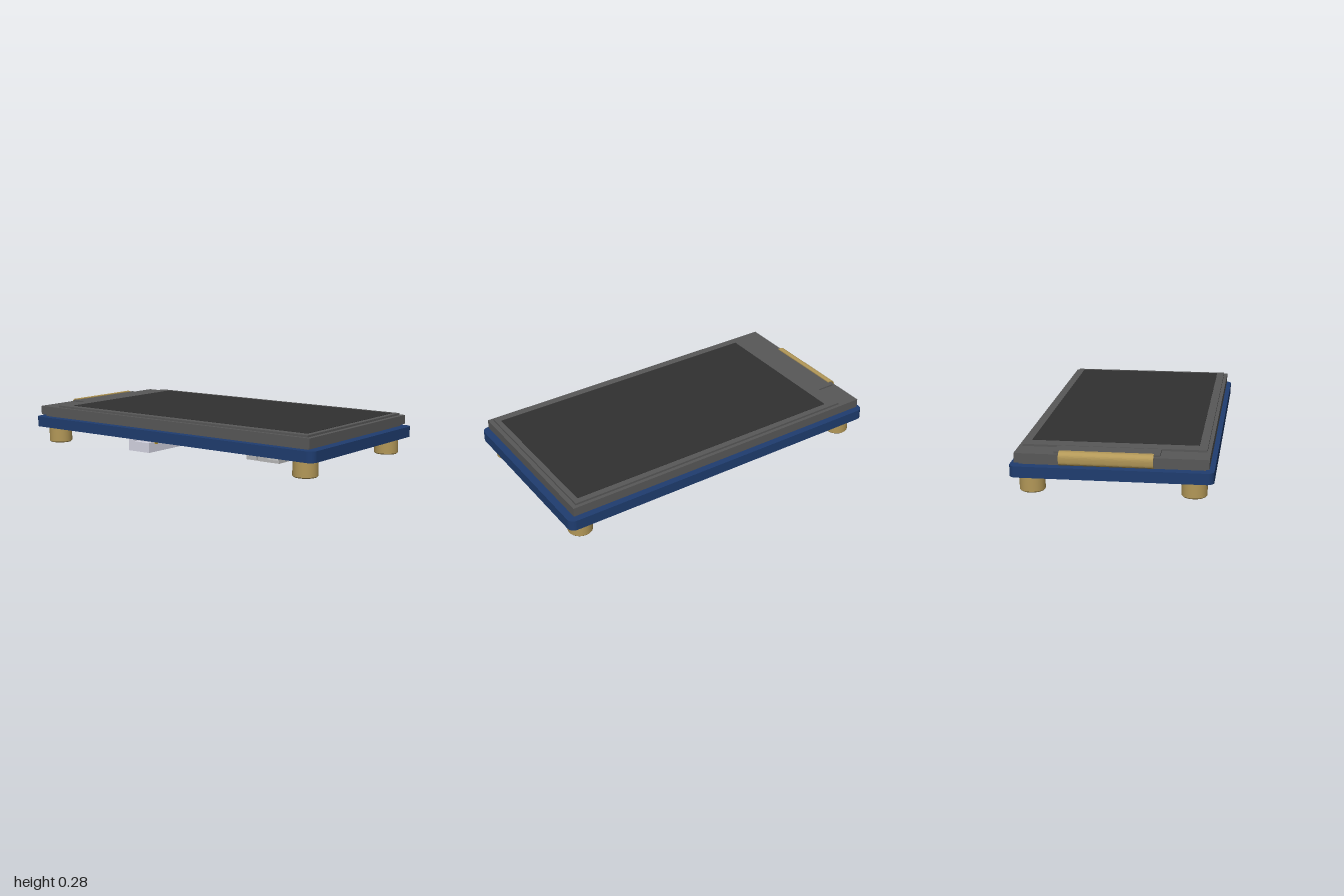
import * as THREE from 'three';

const mat = (color) => new THREE.MeshStandardMaterial({ color });
const M = {
  board: mat(0x1f3d70), frame: mat(0x585858), screen: mat(0x313131), gold: mat(0xb39858),
  pin: mat(0xb08a1e), white: mat(0xd6d6e4), grey: mat(0xb8b8b8), dark: mat(0x3c3c3c),
  stiffener: mat(0x3a3530), silver: mat(0xc8c8c8), brown: mat(0x8a5a30),
};

export function createModel() {
  const model = new THREE.Group();

  const group = (name, parent = model) => {
    const g = new THREE.Group();
    g.name = name;
    parent.add(g);
    return g;
  };
  const add = (name, geometry, material, parent = model) => {
    const m = new THREE.Mesh(geometry, material);
    m.name = name;
    parent.add(m);
    return m;
  };
  // box given by its limits on each axis
  const box = (name, [x0, x1], [y0, y1], [z0, z1], material, parent) => {
    const m = add(name, new THREE.BoxGeometry(x1 - x0, y1 - y0, z1 - z0), material, parent);
    m.position.set((x0 + x1) / 2, (y0 + y1) / 2, (z0 + z1) / 2);
    return m;
  };
  // thin bent strip: a path in x/y thickened and extruded along z
  const ribbon = (name, pts, z0, z1, material, t = 0.006) => {
    const path = new THREE.CatmullRomCurve3(pts.map(([x, y]) => new THREE.Vector3(x, y, 0)));
    const outer = [], inner = [];
    for (let i = 0; i <= 24; i++) {
      const p = path.getPoint(i / 24), d = path.getTangent(i / 24);
      outer.push(new THREE.Vector2(p.x - d.y * t / 2, p.y + d.x * t / 2));
      inner.unshift(new THREE.Vector2(p.x + d.y * t / 2, p.y - d.x * t / 2));
    }
    const geo = new THREE.ExtrudeGeometry(new THREE.Shape([...outer, ...inner]),
      { depth: z1 - z0, bevelEnabled: false });
    add(name, geo, material).position.z = z0;
  };

  // circuit board with rounded corners and a slot for the flex cable
  const W = 1, D = 0.53, R = 0.04;
  const outline = new THREE.Shape();
  outline.moveTo(-W + R, -D);
  outline.lineTo(W - R, -D);
  outline.absarc(W - R, -D + R, R, -Math.PI / 2, 0);
  outline.absarc(W - R, D - R, R, 0, Math.PI / 2);
  outline.absarc(-W + R, D - R, R, Math.PI / 2, Math.PI);
  outline.absarc(-W + R, -D + R, R, Math.PI, Math.PI * 1.5);
  outline.holes.push(new THREE.Path([[0.175, -0.25], [0.175, 0.25], [0.29, 0.25], [0.29, -0.25]]
    .map(([x, y]) => new THREE.Vector2(x, y))));
  const boardGeo = new THREE.ExtrudeGeometry(outline, { depth: 0.06, bevelEnabled: false, curveSegments: 8 });
  boardGeo.rotateX(-Math.PI / 2);
  add('circuitBoard', boardGeo, M.board).position.y = 0.14;

  // display stack
  const display = group('display');
  box('backlight', [-0.95, 0.945], [0.2, 0.215], [-0.485, 0.485], M.frame, display);
  box('displayFrame', [-0.97, 0.965], [0.212, 0.263], [-0.505, 0.505], M.frame, display);
  box('glass', [-0.84, 0.94], [0.263, 0.274], [-0.485, 0.485], M.frame, display);
  box('flexCover', [-0.95, -0.84], [0.263, 0.272], [-0.3, 0.25], M.frame, display);
  box('screen', [-0.76, 0.91], [0.27, 0.276], [-0.45, 0.44], M.screen, display);

  // flex cable: loop over the display end, and tail through the slot
  ribbon('flexLoop', [[-0.94, 0.274], [-0.968, 0.273], [-0.983, 0.26], [-0.985, 0.235], [-0.98, 0.215],
    [-0.96, 0.206], [-0.92, 0.205]], -0.27, 0.22, M.gold);
  ribbon('flexTail', [[0.22, 0.2], [0.245, 0.17], [0.265, 0.138], [0.3, 0.117], [0.35, 0.107]], -0.22, 0.22, M.gold);
  ribbon('flexStiffener', [[0.34, 0.108], [0.38, 0.105], [0.42, 0.103], [0.47, 0.103]], -0.23, 0.23, M.stiffener, 0.01);

  // flex connector
  const fpc = group('flexConnector');
  box('connectorBody', [0.46, 0.64], [0.08, 0.14], [-0.31, 0.3], M.grey, fpc);
  box('connectorBase', [0.5, 0.64], [0.062, 0.08], [-0.31, 0.3], M.grey, fpc);
  box('latch', [0.42, 0.47], [0.066, 0.098], [-0.27, 0.27], M.dark, fpc);
  box('latchSlot', [0.47, 0.5], [0.076, 0.082], [-0.25, 0.25], M.dark, fpc);
  for (const s of [-1, 1]) {
    const z = s * 0.3 - 0.005;
    box('connectorArm', [0.43, 0.5], [0.066, 0.13], [z - 0.018, z + 0.018], M.grey, fpc);
    box('solderTab', [0.57, 0.64], [0.08, 0.12], [z - 0.016, z + 0.016], M.silver, fpc);
  }
  for (let i = 0; i < 24; i++) {
    const z = -0.23 + i * 0.0196;
    box('contact', [0.63, 0.652], [0.133, 0.141], [z - 0.004, z + 0.004], M.dark, fpc);
  }

  // side-entry header, open toward -x, with recessed ends
  const header = group('headerSocket');
  box('socketFloor', [-0.51, -0.35], [0, 0.02], [-0.23, 0.23], M.white, header);
  box('socketRoof', [-0.51, -0.35], [0.12, 0.14], [-0.2, 0.2], M.white, header);
  box('socketBack', [-0.4, -0.35], [0, 0.14], [-0.2, 0.2], M.white, header);
  for (const s of [-1, 1]) {
    const span = (a, b) => (s > 0 ? [a, b] : [-b, -a]);
    box('socketEnd', [-0.51, -0.35], [0.01, 0.14], span(0.18, 0.205), M.white, header);
    box('endCheek', [-0.51, -0.35], [0.01, 0.06], span(0.2, 0.23), M.white, header);
    box('endPost', [-0.51, -0.465], [0.06, 0.14], span(0.2, 0.23), M.white, header);
    box('endLug', [-0.43, -0.35], [0.085, 0.14], span(0.2, 0.23), M.white, header);
    box('keyNotch', [-0.512, -0.47], [-0.0005, 0.01], span(0.1, 0.13), M.dark, header);
  }
  for (let i = 0; i < 8; i++) {
    const z = (i - 3.5) * 0.049;
    box('headerPin', [-0.35, -0.332], [0.05, 0.14], [z - 0.007, z + 0.007], M.pin, header);
    box('matingPin', [-0.49, -0.4], [0.063, 0.077], [z - 0.007, z + 0.007], M.pin, header);
  }

  // chips: body with legs along both long sides
  const chip = (name, x, z, w, d, legs, bottom) => {
    const g = group(name);
    box('chipBody', [x - w / 2, x + w / 2], [bottom, 0.134], [z - d / 2, z + d / 2], M.dark, g);
    for (let i = 0; i < legs; i++) {
      const lz = z + ((i + 0.5) / legs - 0.5) * d * 0.95;
      for (const s of [-1, 1]) {
        const foot = x + s * (w / 2 + 0.018), knee = x + s * (w / 2 + 0.008);
        box('foot', [foot - 0.012, foot + 0.012], [0.132, 0.14], [lz - 0.005, lz + 0.005], M.silver, g);
        box('leg', [knee - 0.008, knee + 0.008], [0.118, 0.134], [lz - 0.005, lz + 0.005], M.silver, g);
      }
    }
    return g;
  };
  const main = chip('mainChip', -0.03, -0.15, 0.15, 0.3, 10, 0.1);
  const dot = add('chipMark', new THREE.CylinderGeometry(0.01, 0.01, 0.002, 16), M.screen, main);
  dot.position.set(-0.075, 0.0995, -0.27);
  chip('regulatorChip', 0.095, 0.3, 0.08, 0.1, 3, 0.105);
  chip('driverChip', -0.09, 0.145, 0.06, 0.1, 3, 0.105);

  // small two-terminal parts
  const passives = [[-0.09, 0.34], [-0.09, 0.27], [0.1, 0.13], [0.1, 0.07], [0.02, 0.12], [0.02, 0.19],
    [0.06, -0.35], [-0.12, -0.35]];
  passives.forEach(([x, z], i) => {
    const g = group('passive');
    box('passiveBody', [x - 0.02, x + 0.02], [0.113, 0.14], [z - 0.014, z + 0.014], i % 3 === 2 ? M.dark : M.brown, g);
    for (const s of [-1, 1]) {
      const t = x + s * 0.023;
      box('terminal', [t - 0.007, t + 0.007], [0.111, 0.14], [z - 0.016, z + 0.016], M.silver, g);
    }
  });

  // threaded standoffs: bevelled sleeve with a stepped bore
  const profile = [[0.03, 0.14], [0.03, 0.062], [0.042, 0.05], [0.042, 0.045], [0.062, 0.045], [0.068, 0.051], [0.068, 0.14]];
  const pts = [];
  profile.forEach(([r, y]) => pts.push(new THREE.Vector2(r, y)));
  for (const sx of [-1, 1]) for (const sz of [-1, 1]) {
    const g = group('standoff');
    g.position.set(sx * 0.89, 0, sz * 0.425);
    // one lathe per segment keeps the edges crisp
    for (let i = 0; i < pts.length - 1; i++) add('sleeve', new THREE.LatheGeometry([pts[i], pts[i + 1]], 32), M.gold, g);
    for (let i = 0; i < 4; i++) {
      const ring = add('thread', new THREE.TorusGeometry(0.03, 0.003, 6, 24), M.gold, g);
      ring.rotation.x = Math.PI / 2;
      ring.position.y = 0.07 + i * 0.016;
    }
  }
  return model;
}
